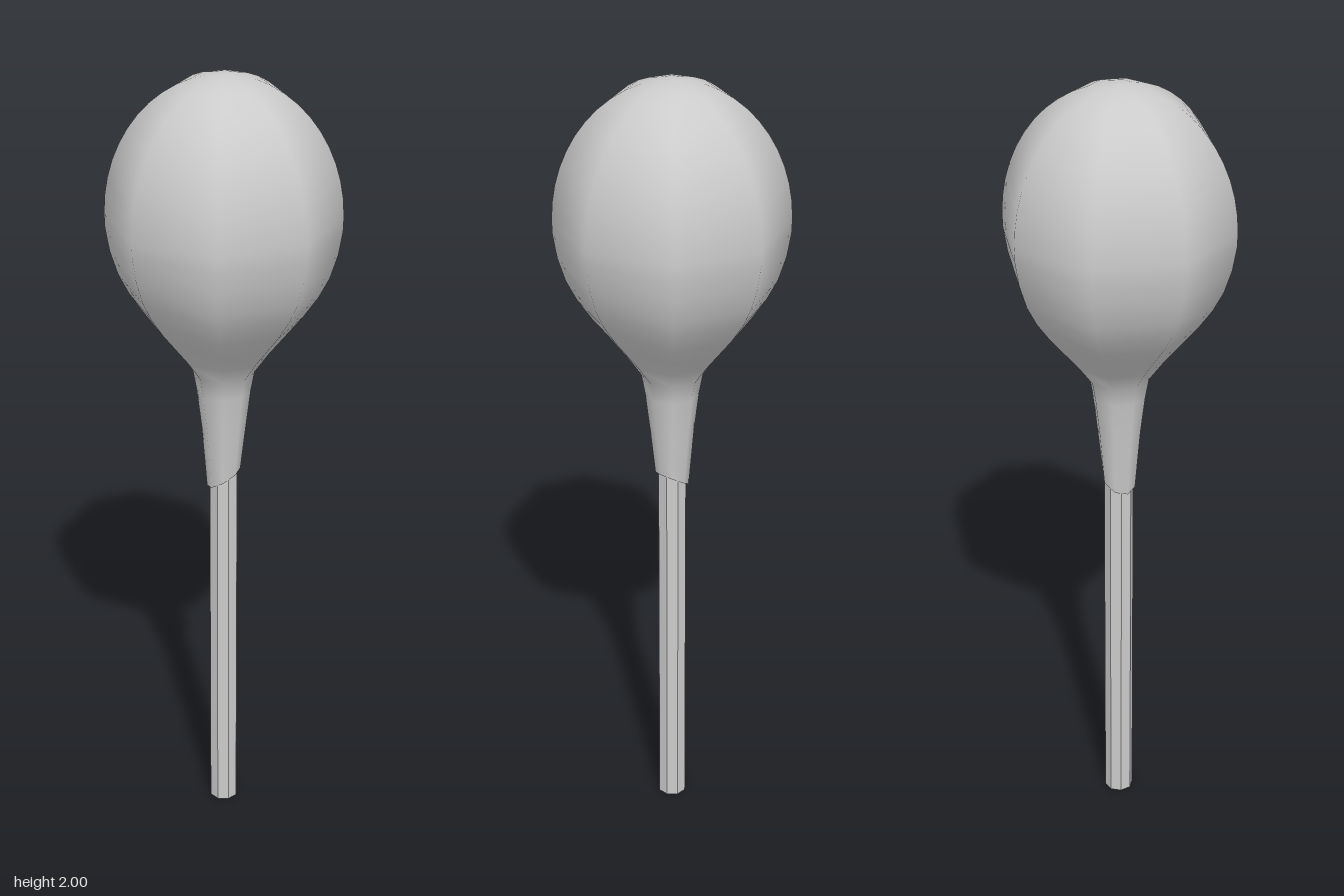
import * as THREE from 'three';

const SIDES = 8;

export function createModel() {
  const group = new THREE.Group();

  // Head: eight-sided smooth bulb tapering into a sleeve
  const profile = [
    [0.042, 0.96], [0.055, 1.1], [0.067, 1.2], [0.076, 1.25], [0.112, 1.3], [0.153, 1.35],
    [0.194, 1.4], [0.229, 1.45], [0.255, 1.5], [0.274, 1.56], [0.284, 1.62],
  ].map(([r, y]) => new THREE.Vector2(r, y));
  const rings = 12;
  for (let i = 0; i <= rings; i++) {
    const a = (i / rings) * Math.PI / 2;
    profile.push(new THREE.Vector2(i === rings ? 0 : 0.285 * Math.cos(a), 1.655 + 0.345 * Math.sin(a)));
  }
  const headGeometry = new THREE.LatheGeometry(profile, SIDES);

  // Cut the sleeve's lower rim at a slant, lowest on the right
  const p = headGeometry.attributes.position;
  for (let i = 0; i < p.count; i++) {
    if (p.getY(i) < 1) p.setY(i, 0.96 + 0.6 * p.getX(i));
  }
  const head = new THREE.Mesh(headGeometry,
    new THREE.MeshStandardMaterial({ color: 0xcccccc, side: THREE.DoubleSide }));
  head.name = 'head';
  group.add(head);

  // Stem: faceted rod running up into the sleeve
  const stemHeight = 1.15;
  const stemGeometry = new THREE.CylinderGeometry(0.037, 0.037, stemHeight, SIDES);
  stemGeometry.rotateY(Math.PI / SIDES);
  stemGeometry.translate(0, stemHeight / 2, 0);
  const stem = new THREE.Mesh(stemGeometry,
    new THREE.MeshStandardMaterial({ color: 0xcccccc, flatShading: true }));
  stem.name = 'stem';
  group.add(stem);

  return group;
}
